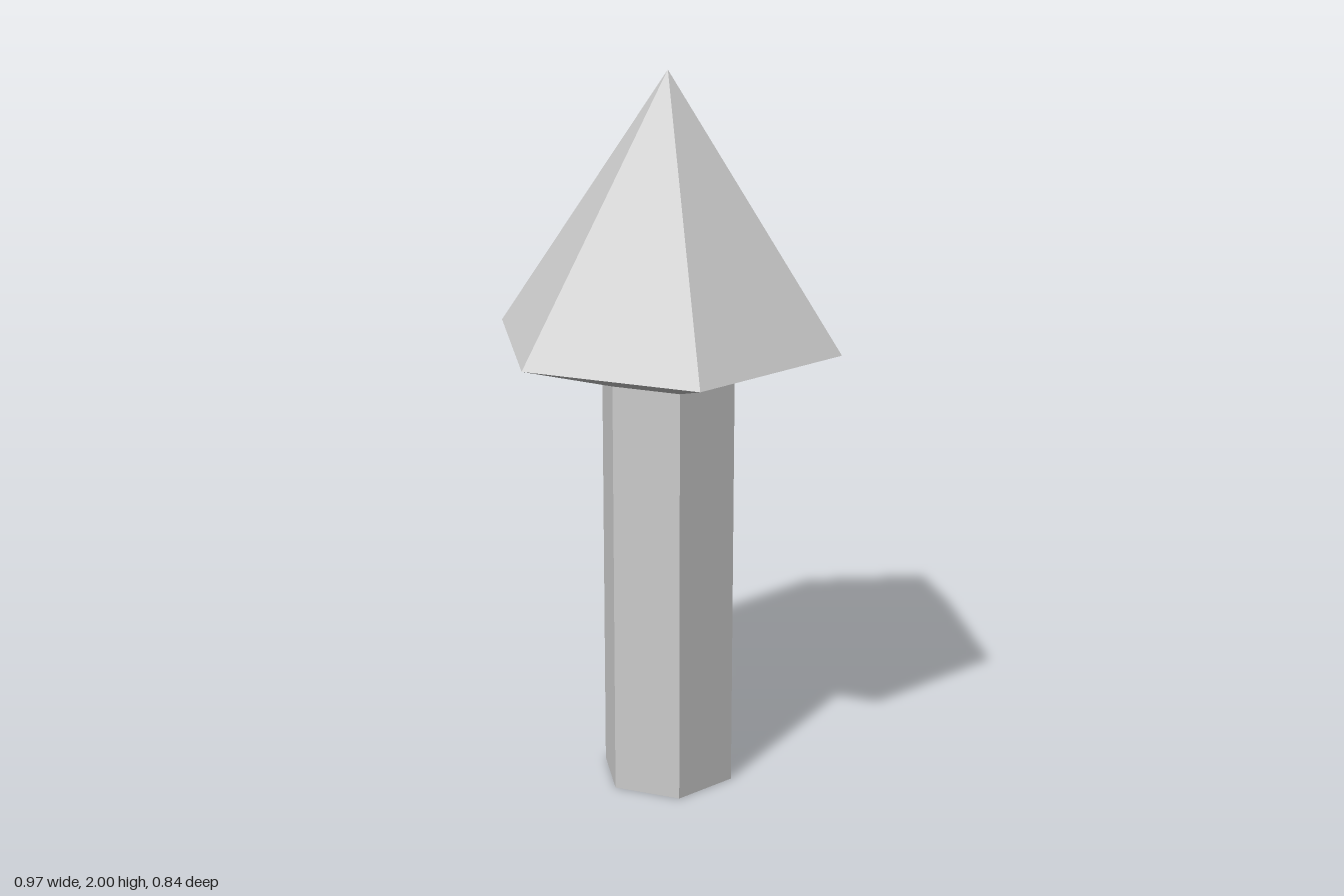
import * as THREE from 'three';

const SIDES = 6;
const TRUNK_RADIUS = 0.19, CROWN_RADIUS = 0.485;
const TRUNK_TOP = 1.18, CROWN_RIM = 1.28, TIP = 2;

export function createModel() {
  const group = new THREE.Group();
  group.name = 'lowPolyTree';
  const material = new THREE.MeshStandardMaterial({ color: 0xcccccc, flatShading: true });

  // Six-sided section between two heights, with corners on the x axis
  const addSection = (name, bottomRadius, topRadius, y0, y1, open) => {
    const geometry = new THREE.CylinderGeometry(topRadius, bottomRadius, y1 - y0, SIDES, 1, open, Math.PI / 2);
    const mesh = new THREE.Mesh(geometry, material);
    mesh.name = name;
    mesh.position.y = (y0 + y1) / 2;
    group.add(mesh);
  };

  // Straight trunk with a closed base
  addSection('trunk', TRUNK_RADIUS, TRUNK_RADIUS, 0, TRUNK_TOP, false);
  // Sloping underside, flaring from the trunk to the crown's rim
  addSection('crownUnderside', TRUNK_RADIUS, CROWN_RADIUS, TRUNK_TOP, CROWN_RIM, true);
  // Pointed crown
  addSection('crown', CROWN_RADIUS, 0, CROWN_RIM, TIP, true);

  return group;
}
